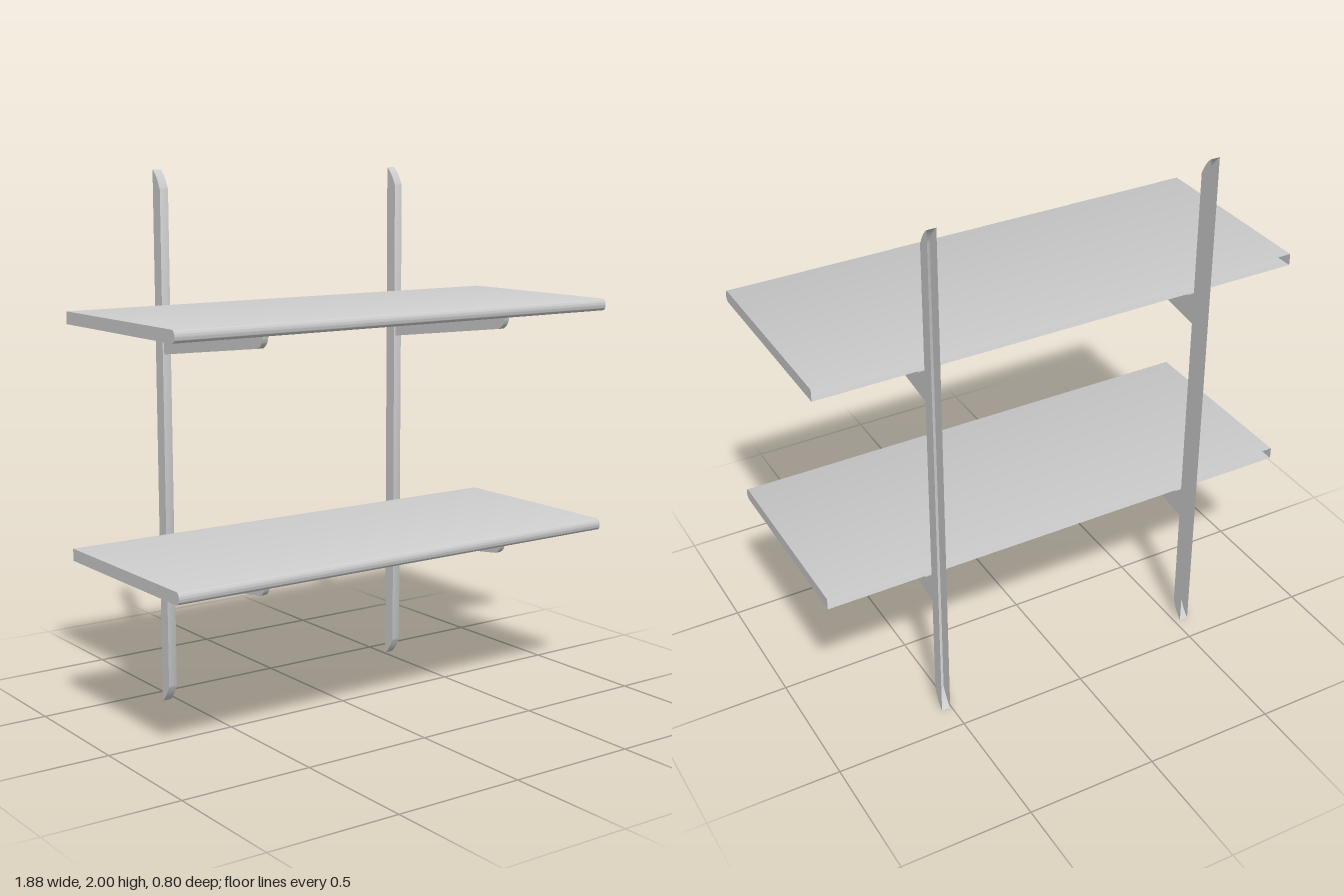
import * as THREE from 'three';
import { toCreasedNormals } from 'three/addons/utils/BufferGeometryUtils.js';

const material = new THREE.MeshStandardMaterial({ color: 0xcccccc, side: THREE.DoubleSide });

// Extrudes a side profile drawn in (z, y) along x, centred on x = 0.
// openZ leaves out the wall lying on that z, giving a folded sheet open at the back.
function sheet(shape, width, openZ = null) {
  let geo = new THREE.ExtrudeGeometry(shape, { depth: width, bevelEnabled: false, curveSegments: 10 });
  geo.translate(0, 0, -width / 2);
  geo.rotateY(-Math.PI / 2);
  geo.deleteAttribute('uv');
  if (openZ !== null) {
    const p = geo.attributes.position;
    const kept = [];
    for (let i = 0; i < p.count; i += 3) {
      const onBack = [0, 1, 2].every((k) => Math.abs(p.getZ(i + k) - openZ) < 1e-5);
      if (onBack) continue;
      for (let k = 0; k < 3; k++) kept.push(p.getX(i + k), p.getY(i + k), p.getZ(i + k));
    }
    geo = new THREE.BufferGeometry();
    geo.setAttribute('position', new THREE.Float32BufferAttribute(kept, 3));
  }
  return toCreasedNormals(geo, 0.5);
}

function add(parent, name, geo, x = 0, y = 0, z = 0) {
  const mesh = new THREE.Mesh(geo, material);
  mesh.name = name;
  mesh.position.set(x, y, z);
  parent.add(mesh);
}

const BACK = -0.4, WALL = -0.35;

// Upright channel with rounded-off ends
function uprightShape() {
  const s = new THREE.Shape();
  s.moveTo(BACK, 0);
  s.quadraticCurveTo(-0.373, 0.018, WALL, 0.07);
  s.lineTo(WALL, 1.93);
  s.quadraticCurveTo(-0.373, 1.982, BACK, 2);
  s.closePath();
  return s;
}

// Shelf tray with a rounded front edge; y = 0 is its underside
function shelfShape() {
  const h = 0.045, r = 0.018;
  const s = new THREE.Shape();
  s.moveTo(WALL, 0);
  s.lineTo(0.4 - r, 0);
  s.quadraticCurveTo(0.4, 0.002, 0.4, h / 2);
  s.quadraticCurveTo(0.4, h - 0.002, 0.4 - r, h);
  s.lineTo(WALL, h);
  s.closePath();
  return s;
}

// Tapered bracket arm hanging below y = 0
function bracketShape() {
  const s = new THREE.Shape();
  s.moveTo(WALL, 0);
  s.lineTo(WALL, -0.135);
  s.lineTo(0.28, -0.053);
  s.quadraticCurveTo(0.31, -0.04, 0.312, -0.004);
  s.lineTo(0.312, 0);
  s.closePath();
  return s;
}

export function createModel() {
  const model = new THREE.Group();
  model.name = 'wallShelf';

  const postX = [-0.54, 0.523];
  const shelfY = [0.615, 1.468];

  const upright = sheet(uprightShape(), 0.034, BACK);
  const shelf = sheet(shelfShape(), 1.88, WALL);
  const arm = sheet(bracketShape(), 0.022);
  const flange = new THREE.BoxGeometry(0.086, 0.004, 0.662);

  for (const x of postX) add(model, 'upright', upright, x);

  for (const y of shelfY) {
    add(model, 'shelf', shelf, 0, y);
    for (const x of postX) {
      const bracket = new THREE.Group();
      bracket.name = 'bracket';
      bracket.position.set(x, y, 0);
      add(bracket, 'bracketArm', arm);
      add(bracket, 'bracketFlange', flange, 0, -0.003, -0.019);
      model.add(bracket);
    }
  }
  return model;
}
